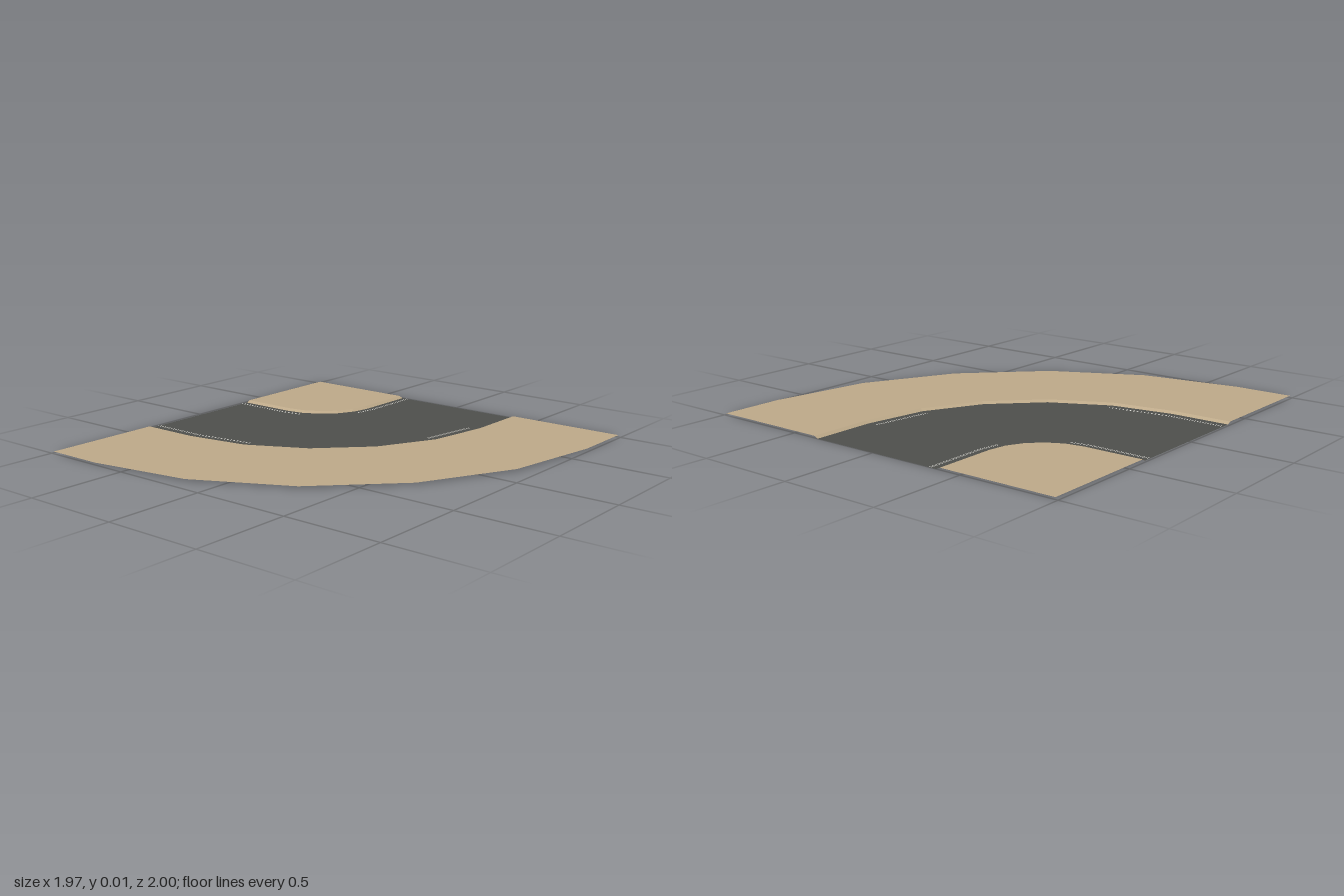
import * as THREE from 'three';

const LEFT = -0.988, BACK = -1;    // straight cut edges of the tile
const CX = -0.685, CZ = -0.675;    // centre of the bend
const TOP = 0.01;                  // sand level, road bed lies at 0
const STEPS = 5;                   // facets in the bend

// Line at one radius: straight run, quarter bend, straight run
function bendPath(r, y) {
  const pts = [[LEFT, y, CZ + r]];
  for (let i = 0; i <= STEPS; i++) {
    const a = (Math.PI / 2) * (1 - i / STEPS);
    pts.push([CX + r * Math.cos(a), y, CZ + r * Math.sin(a)]);
  }
  pts.push([CX + r, y, BACK]);
  return pts;
}

// Faceted surface between two paths, facing up
function ribbon(inner, outer, material, name, segments = [0, 1, 2, 3, 4, 5, 6]) {
  const pos = [];
  for (const i of segments) {
    pos.push(...inner[i], ...outer[i], ...outer[i + 1]);
    pos.push(...inner[i], ...outer[i + 1], ...inner[i + 1]);
  }
  const geo = new THREE.BufferGeometry();
  geo.setAttribute('position', new THREE.Float32BufferAttribute(pos, 3));
  geo.computeVertexNormals();
  const mesh = new THREE.Mesh(geo, material);
  mesh.name = name;
  return mesh;
}

export function createModel() {
  const makeMaterial = (name, color) => {
    const m = new THREE.MeshStandardMaterial({ color, side: THREE.DoubleSide });
    m.name = name;
    return m;
  };
  const sand = makeMaterial('sand', 0xbca888);
  const asphalt = makeMaterial('asphalt', 0x4e4f4b);
  const paint = makeMaterial('line paint', 0xe4e4de);

  const group = new THREE.Group();
  group.name = 'roadCorner';

  // Inner ground fans out from the back corner of the tile
  const corner = Array.from({ length: STEPS + 3 }, () => [LEFT, TOP, BACK]);
  const innerRim = bendPath(0.295, TOP), outerRim = bendPath(1.052, TOP);
  const roadInner = bendPath(0.315, 0), roadOuter = bendPath(1.032, 0);
  group.add(
    ribbon(corner, innerRim, sand, 'innerGround'),
    ribbon(innerRim, roadInner, sand, 'innerBank'),
    ribbon(roadInner, roadOuter, asphalt, 'road'),
    ribbon(roadOuter, outerRim, sand, 'outerBank'),
    ribbon(outerRim, bendPath(1.672, TOP), sand, 'outerGround'),
  );

  // Fine double edge lines, worn away in the middle of the bend
  for (const [name, r, segments] of [
    ['innerLine', 0.344, [0, 1, 5, 6]], ['innerLine', 0.354, [0, 1, 5, 6]],
    ['outerLine', 0.980, [0, 1, 5]], ['outerLine', 0.990, [0, 1, 5]],
  ]) {
    group.add(ribbon(bendPath(r, 0.001), bendPath(r + 0.003, 0.001), paint, name, segments));
  }
  return group;
}
